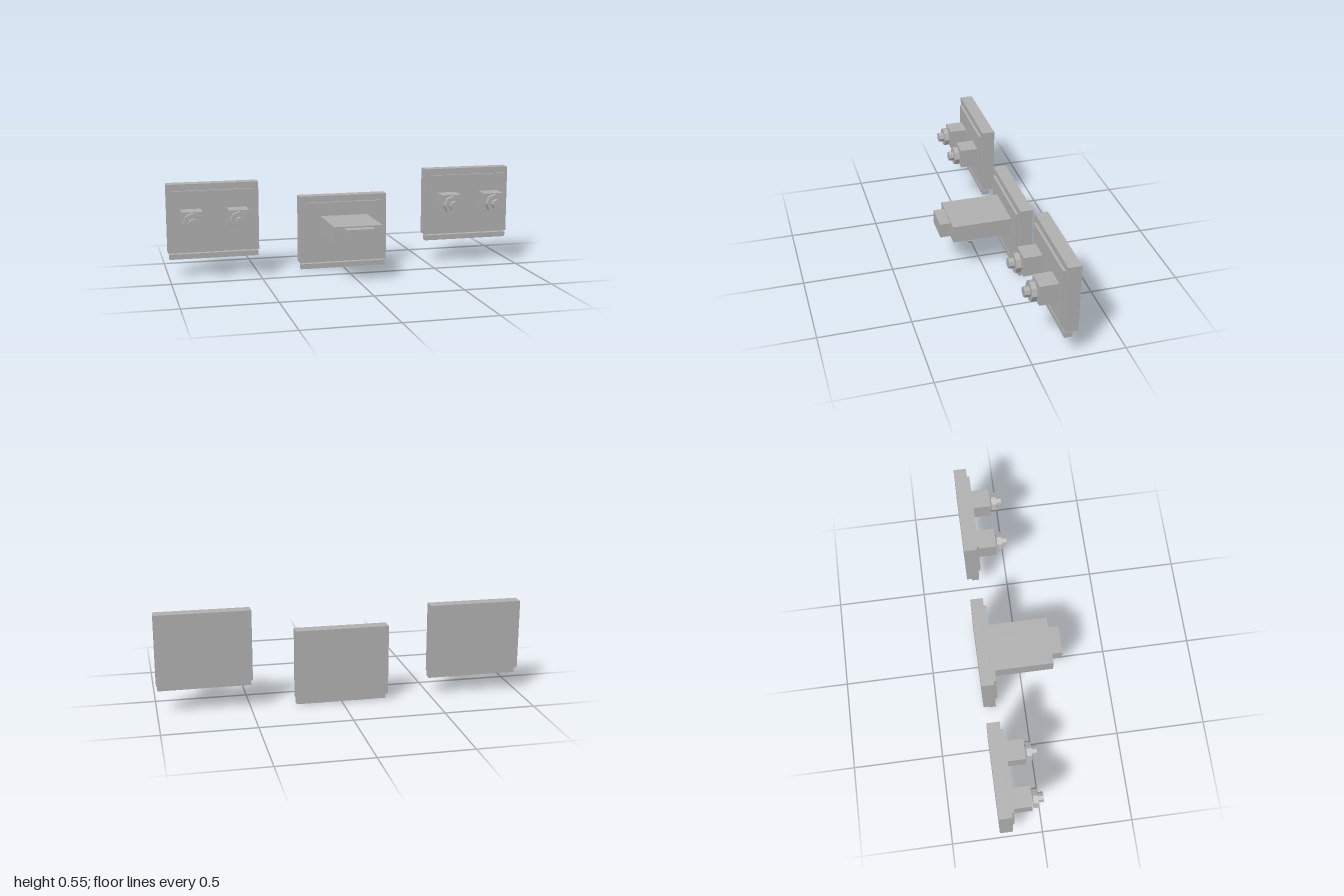
import * as THREE from 'three';

export function createModel() {
  const model = new THREE.Group();
  model.name = 'panelSet';
  const grey = new THREE.MeshStandardMaterial({ color: 0xb0b0b0, flatShading: true });
  grey.name = 'grey';

  // Box given by its centre in x and y, and its back and front z
  function box(parent, name, x, y, w, h, z0, z1) {
    const mesh = new THREE.Mesh(new THREE.BoxGeometry(w, h, z1 - z0), grey);
    mesh.name = name;
    mesh.position.set(x, y, (z0 + z1) / 2);
    parent.add(mesh);
  }

  // Eight-sided disc facing forwards
  function disc(parent, name, x, y, r, z0, z1) {
    const geometry = new THREE.CylinderGeometry(r, r, z1 - z0, 8).rotateX(Math.PI / 2);
    const mesh = new THREE.Mesh(geometry, grey);
    mesh.name = name;
    mesh.position.set(x, y, (z0 + z1) / 2);
    parent.add(mesh);
  }

  // Backing panel with raised plate and a strip underneath
  function panel(name, x, bottom) {
    const group = new THREE.Group();
    group.name = name;
    group.position.set(x, bottom, 0);
    box(group, 'backPanel', 0, 0.229, 0.51, 0.386, -0.235, -0.164);
    box(group, 'raisedPlate', 0, 0.229, 0.446, 0.314, -0.164, -0.15);
    box(group, 'lowerStrip', 0, 0.0145, 0.498, 0.029, -0.206, -0.164);
    model.add(group);
    return group;
  }

  // Side panels, each with two stepped knobs
  for (const [name, x, bottom] of [['rightPanel', -0.745, 0.098], ['leftPanel', 0.745, 0.13]]) {
    const group = panel(name, x, bottom);
    for (const side of [-1, 1]) {
      const kx = side * 0.128;
      box(group, 'knobBlock', kx, 0.229, 0.112, 0.112, -0.15, -0.05);
      disc(group, 'knobCollar', kx, 0.229, 0.0545, -0.042, -0.014);
      disc(group, 'knobTip', kx, 0.229, 0.028, -0.014, 0.015);
    }
  }

  // Central panel with a projecting arm
  const centre = panel('centrePanel', 0, 0);
  box(centre, 'arm', 0, 0.259, 0.273, 0.098, -0.15, 0.179);
  box(centre, 'armNose', 0, 0.2585, 0.158, 0.083, 0.179, 0.238);

  // Small rollers under the arm
  for (const [x, z] of [[-0.114, 0.083], [0.114, 0.083], [0, 0.011], [-0.072, -0.031], [0.072, -0.031]]) {
    disc(centre, 'roller', x, 0.2, 0.0185, z - 0.0105, z + 0.0105);
  }

  return model;
}
